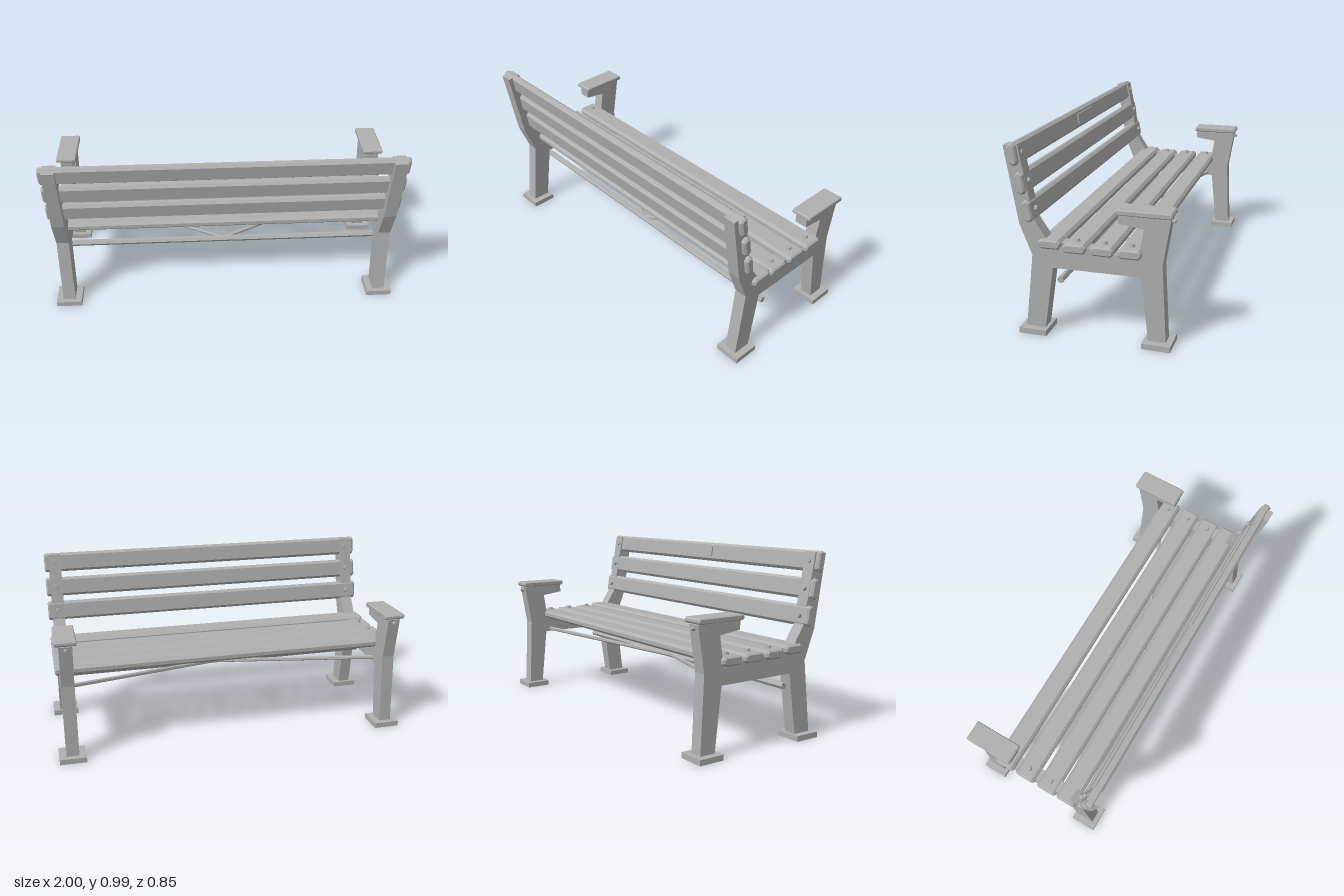
import * as THREE from 'three';

const grey = new THREE.MeshStandardMaterial({ color: 0xb0b0b0, flatShading: true });
grey.name = 'grey';

function add(parent, name, geometry, x = 0, y = 0, z = 0) {
  const mesh = new THREE.Mesh(geometry, grey);
  mesh.name = name;
  mesh.position.set(x, y, z);
  parent.add(mesh);
  return mesh;
}

// Extrudes a (z, y) outline along x, centred on x = 0
function extrudeX(points, length, bevel = 0) {
  const shape = new THREE.Shape(points.map(([z, y]) => new THREE.Vector2(-z, y)));
  const depth = length - 2 * bevel;
  return new THREE.ExtrudeGeometry(shape, {
    depth, bevelEnabled: bevel > 0, bevelSegments: 1,
    bevelSize: bevel, bevelThickness: bevel, bevelOffset: -bevel,
  }).translate(0, 0, -depth / 2).rotateY(Math.PI / 2);
}

// Board with chamfered long edges and ends
function board(length, height, depth, c) {
  const h = height / 2, d = depth / 2;
  return extrudeX([
    [d, -h + c], [d, h - c], [d - c, h], [-d + c, h],
    [-d, h - c], [-d, -h + c], [-d + c, -h], [d - c, -h],
  ], length, c * 0.6);
}

// Hexagonal bar between two points
function bar(parent, name, a, b, radius) {
  const dir = b.clone().sub(a);
  const mesh = add(parent, name, new THREE.CylinderGeometry(radius, radius, dir.length(), 6));
  mesh.position.copy(a).add(b).multiplyScalar(0.5);
  mesh.quaternion.setFromUnitVectors(new THREE.Vector3(0, 1, 0), dir.normalize());
  return mesh;
}

// Shallow bolt head, pointing up
function boltHead(radius, height) {
  return new THREE.CylinderGeometry(radius * 0.8, radius, height, 8);
}

export function createModel() {
  const bench = new THREE.Group();
  bench.name = 'bench';
  const sideX = 0.925;

  // Side frames: legs, seat rail, back upright and arm in one casting
  const outline = [
    [0.342, 0.02], [0.295, 0.42], [0.358, 0.582], [0.425, 0.974], [0.35, 0.982],
    [0.277, 0.606], [0.219, 0.517], [0.2, 0.5], [0.128, 0.5], [-0.01, 0.483],
    [-0.253, 0.449], [-0.279, 0.611], [-0.154, 0.627], [-0.154, 0.681],
    [-0.4125, 0.671], [-0.373, 0.433], [-0.392, 0.02], [-0.303, 0.02],
    [-0.266, 0.363], [0.188, 0.363], [0.24, 0.02],
  ];
  for (const s of [-1, 1]) {
    const x = s * sideX;
    add(bench, 'sideFrame', extrudeX(outline, 0.07), x);
    for (const z of [0.295, -0.35])
      add(bench, 'footPlate', new THREE.BoxGeometry(0.146, 0.03, 0.146), x, 0.015, z);
    add(bench, 'armrest', board(0.116, 0.028, 0.278, 0.008), x, 0.69, -0.284);
    add(bench, 'armBolt', boltHead(0.011, 0.02).rotateX(-Math.PI / 2), x, 0.652, -0.417);
  }

  // Seat slats; the rearmost one is raised and has no bolts
  const seat = [[0.197, 0.492], [0.067, 0.481], [-0.074, 0.481], [-0.213, 0.481]];
  seat.forEach(([z, y], i) => {
    add(bench, 'seatSlat', board(1.97, 0.048, 0.118, 0.014), 0, y, z);
    if (i > 0) for (const s of [-1, 1])
      add(bench, 'seatBolt', boltHead(0.016, 0.016), s * sideX, y + 0.03, z);
  });

  // Tilted back slats with bolts on the sitting side
  const back = [[0.371, 0.932], [0.337, 0.791], [0.305, 0.652]];
  back.forEach(([z, y], i) => {
    const slat = new THREE.Group();
    slat.name = 'backSlatGroup';
    slat.position.set(0, y, z);
    slat.rotation.x = 0.165;
    add(slat, 'backSlat', board(1.97, 0.109, 0.044, 0.014));
    for (const s of [-1, 1])
      add(slat, 'backBolt', boltHead(0.016, 0.016).rotateX(-Math.PI / 2), s * sideX, 0, -0.028);
    if (i === 0) add(slat, 'plaque', new THREE.BoxGeometry(0.25, 0.056, 0.009), 0, 0, -0.0255);
    bench.add(slat);
  });

  // Stretcher bar and the two diagonal braces under the seat
  const rod = new THREE.CylinderGeometry(0.018, 0.018, 1.92, 6).rotateZ(Math.PI / 2);
  add(bench, 'stretcher', rod, 0, 0.302, 0.15);
  for (const s of [-1, 1])
    bar(bench, 'brace', new THREE.Vector3(0, 0.302, 0.14),
      new THREE.Vector3(s * 0.91, 0.382, -0.24), 0.012);

  return bench;
}
